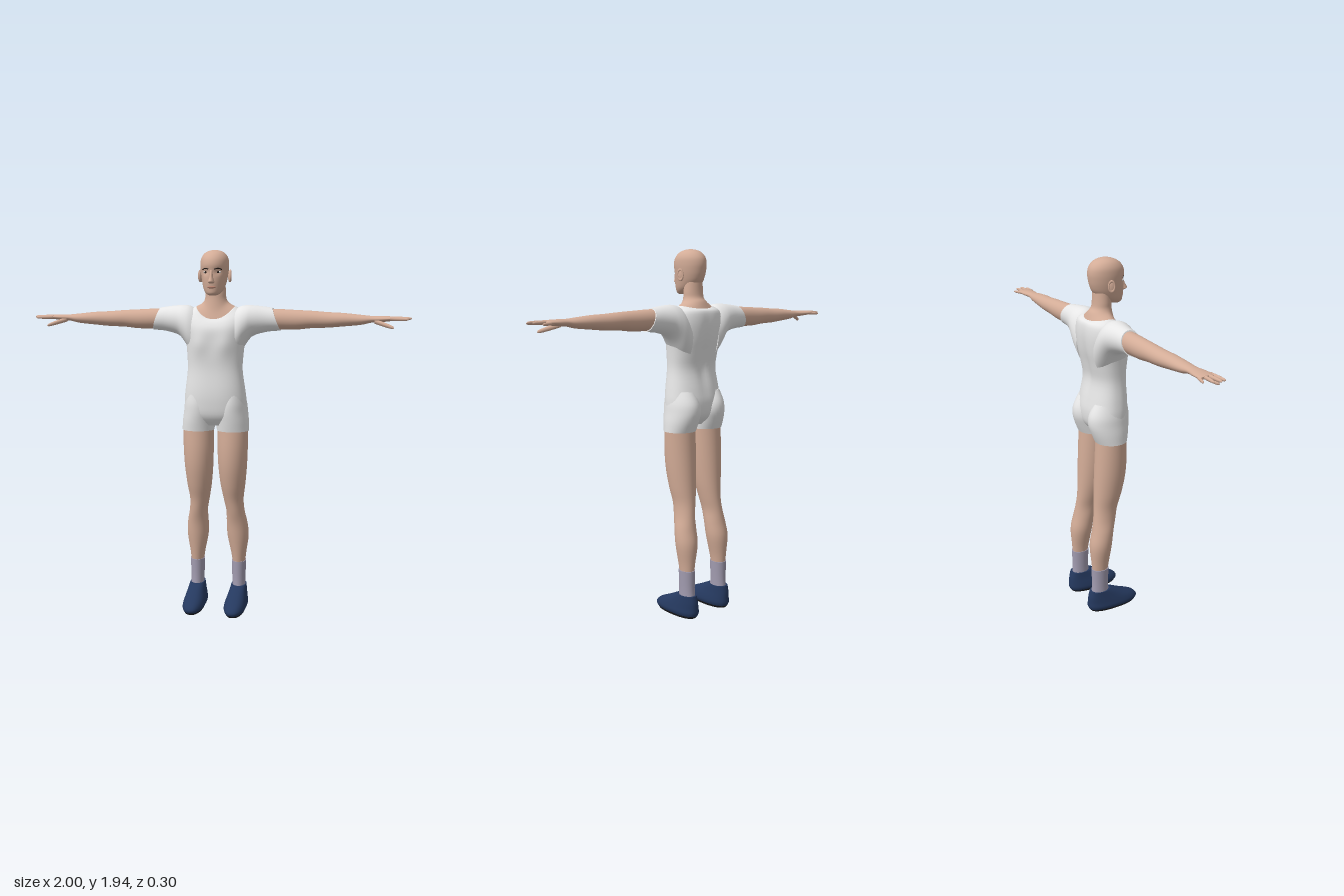
import * as THREE from 'three';

const mat = (name, color) => {
  const m = new THREE.MeshStandardMaterial({ color });
  m.name = name;
  return m;
};

// Cubic interpolation between section rows
function resample(rows, sub) {
  const out = [];
  const at = (i, k) => rows[Math.max(0, Math.min(rows.length - 1, i))][k] ?? 0;
  for (let i = 0; i < rows.length - 1; i++) {
    for (let s = 0; s < sub; s++) {
      const t = s / sub, row = [];
      for (let k = 0; k < 7; k++) {
        const a = at(i - 1, k), b = at(i, k), c = at(i + 1, k), d = at(i + 2, k);
        row.push(b + 0.5 * t * (c - a + t * (2 * a - 5 * b + 4 * c - d + t * (3 * (b - c) + d - a))));
      }
      out.push(row);
    }
  }
  out.push([0, 1, 2, 3, 4, 5, 6].map((k) => at(rows.length - 1, k)));
  return out;
}

// Loft of oval sections along y: [y, x0, x1, z0, z1, frontDip, backDip]
// or along x: [x, y0, y1, z0, z1, slant]
function loft(axis, rows, { n = 32, sub = 4, e = 1, rule } = {}) {
  const pos = [], idx = [];
  const pw = (v) => Math.sign(v) * Math.abs(v) ** e;
  const rings = resample(rows, sub);
  const point = (r, j) => {
    const a = (j / n) * Math.PI * 2;
    const c = pw(Math.cos(a)), s = pw(Math.sin(a));
    const u = (r[1] + r[2]) / 2 + ((r[2] - r[1]) / 2) * c;
    const zm = (r[3] + r[4]) / 2, zh = (r[4] - r[3]) / 2;
    const p = axis === 'y'
      ? new THREE.Vector3(u, r[0] - r[5] * Math.max(0, s) ** 2 - r[6] * Math.max(0, -s) ** 2, zm + zh * s)
      : new THREE.Vector3(r[0] - r[5] * c, u, zm - zh * s);
    if (rule) rule(p);
    return p;
  };
  const ring = (r) => {
    const start = pos.length / 3;
    for (let j = 0; j < n; j++) pos.push(...point(r, j).toArray());
    return start;
  };
  rings.forEach(ring);
  for (let i = 0; i < rings.length - 1; i++) {
    for (let j = 0; j < n; j++) {
      const a = i * n + j, b = i * n + ((j + 1) % n);
      idx.push(a, a + n, b, b, a + n, b + n);
    }
  }
  // End caps
  [rings[0], rings[rings.length - 1]].forEach((r, top) => {
    const s = ring(r), c = new THREE.Vector3();
    for (let j = 0; j < n; j++) c.add(point(r, j));
    pos.push(...c.divideScalar(n).toArray());
    for (let j = 0; j < n; j++) {
      const a = s + j, b = s + ((j + 1) % n);
      idx.push(s + n, top ? b : a, top ? a : b);
    }
  });
  const g = new THREE.BufferGeometry();
  g.setAttribute('position', new THREE.Float32BufferAttribute(pos, 3));
  g.setIndex(idx);
  g.computeVertexNormals();
  return g;
}

function mirrored(geo) {
  const g = geo.clone().scale(-1, 1, 1), i = g.index.array;
  for (let k = 0; k < i.length; k += 3) [i[k], i[k + 1]] = [i[k + 1], i[k]];
  return g;
}

const ball = (x, y, z, rx, ry, rz, turn = 0) =>
  new THREE.SphereGeometry(1, 20, 14).scale(rx, ry, rz).rotateY(turn).translate(x, y, z);
const hill = (d, w) => Math.exp(-((d / w) ** 2));

export function createModel() {
  const model = new THREE.Group();
  const skin = mat('skin', 0xd3ac97), shirt = mat('shirt white', 0xe6e6e6);
  const sock = mat('sock grey', 0xa29cb0), shoe = mat('shoe blue', 0x25395f);
  const sole = mat('sole black', 0x1d1d20), dark = mat('brow and iris', 0x2b211d);
  const white = mat('eye white', 0xe4e0dc), lip = mat('lip', 0xb78472);

  const add = (name, geo, material) => {
    const m = new THREE.Mesh(geo, material);
    m.name = name;
    model.add(m);
  };
  const pair = (name, geo, material) => {
    add('left' + name, geo, material);
    add('right' + name, mirrored(geo), material);
  };

  // Torso with chest swell and spine groove
  add('torso', loft('y', [
    [1.03, -0.1, 0.1, -0.05, 0.06], [1.08, -0.158, 0.158, -0.095, 0.096],
    [1.15, -0.165, 0.165, -0.106, 0.108], [1.22, -0.158, 0.158, -0.097, 0.11],
    [1.32, -0.145, 0.145, -0.08, 0.104], [1.4, -0.148, 0.148, -0.093, 0.106],
    [1.48, -0.156, 0.156, -0.11, 0.107, 0.01], [1.56, -0.165, 0.165, -0.116, 0.106, 0.03],
    [1.62, -0.15, 0.15, -0.108, 0.09, 0.055], [1.65, -0.105, 0.105, -0.085, 0.07, 0.065, 0.015],
  ], {
    n: 64, e: 0.88, rule: (p) => {
      if (p.z > 0.03) p.z += 0.012 * hill(Math.abs(p.x) - 0.07, 0.045) * hill(p.y - 1.46, 0.06);
      if (p.z < -0.03) p.z += 0.012 * hill(p.x, 0.03) * hill(p.y - 1.4, 0.17);
    },
  }), shirt);

  // Short legs of the garment, forming the seat
  pair('Short', loft('y', [
    [1.0, 0.008, 0.179, -0.085, 0.085], [1.05, 0.004, 0.177, -0.107, 0.094],
    [1.1, 0.0, 0.171, -0.122, 0.1], [1.15, 0.008, 0.165, -0.118, 0.1], [1.21, 0.03, 0.15, -0.088, 0.09],
  ]), shirt);

  // Sleeves, flaring into the chest
  pair('Sleeve', loft('x', [
    [0.09, 1.36, 1.625, -0.1, 0.078], [0.13, 1.41, 1.65, -0.104, 0.086],
    [0.165, 1.465, 1.656, -0.1, 0.079], [0.2, 1.5, 1.655, -0.092, 0.064],
    [0.26, 1.52, 1.65, -0.081, 0.045, 0.012], [0.318, 1.526, 1.643, -0.075, 0.035, 0.021],
  ]), shirt);

  // Arms to the palm
  pair('Arm', loft('x', [
    [0.25, 1.535, 1.637, -0.07, 0.03], [0.32, 1.532, 1.637, -0.07, 0.029],
    [0.42, 1.532, 1.632, -0.067, 0.027], [0.5, 1.54, 1.628, -0.065, 0.025],
    [0.58, 1.543, 1.622, -0.061, 0.026], [0.66, 1.55, 1.618, -0.055, 0.029],
    [0.75, 1.559, 1.609, -0.045, 0.027], [0.8, 1.57, 1.604, -0.038, 0.023],
    [0.85, 1.573, 1.604, -0.047, 0.029], [0.9, 1.579, 1.602, -0.054, 0.031],
    [0.92, 1.584, 1.598, -0.05, 0.027],
  ]), skin);

  // Fingers and thumb: base, tip, radius
  const digits = {
    IndexFinger: [0.89, 1.59, 0.022, 0.983, 1.588, 0.031, 0.0095],
    MiddleFinger: [0.89, 1.592, 0, 0.999, 1.592, 0.001, 0.0095],
    RingFinger: [0.89, 1.592, -0.022, 0.988, 1.591, -0.03, 0.009],
    LittleFinger: [0.885, 1.588, -0.042, 0.955, 1.585, -0.06, 0.008],
    Thumb: [0.815, 1.578, 0.01, 0.912, 1.546, 0.056, 0.012],
  };
  for (const [name, [x, y, z, X, Y, Z, r]] of Object.entries(digits)) {
    const rows = [[0, 1], [0.5, 0.95], [0.85, 0.75], [0.96, 0.45], [1, 0.05]].map(([t, k]) => {
      const cy = y + (Y - y) * t, cz = z + (Z - z) * t;
      return [x + (X - x) * t, cy - r * k, cy + r * k, cz - r * k, cz + r * k];
    });
    pair(name, loft('x', rows, { n: 12, sub: 2 }), skin);
  }

  // Legs, socks and shoes
  pair('Leg', loft('y', [
    [0.24, 0.083, 0.15, -0.122, -0.036], [0.3, 0.075, 0.156, -0.127, -0.026],
    [0.4, 0.055, 0.17, -0.133, -0.01], [0.48, 0.052, 0.165, -0.118, 0.002],
    [0.55, 0.053, 0.151, -0.107, 0.02], [0.62, 0.04, 0.147, -0.1, 0.036],
    [0.7, 0.026, 0.158, -0.096, 0.06], [0.8, 0.016, 0.168, -0.092, 0.08],
    [0.9, 0.012, 0.173, -0.087, 0.086], [1.01, 0.012, 0.175, -0.081, 0.081],
  ]), skin);
  pair('Sock', loft('y', [
    [0.08, 0.08, 0.154, -0.132, -0.026], [0.16, 0.08, 0.153, -0.126, -0.031],
    [0.26, 0.077, 0.156, -0.128, -0.029],
  ]), sock);
  pair('Shoe', loft('y', [
    [0.012, 0.06, 0.169, -0.145, 0.146], [0.03, 0.054, 0.175, -0.151, 0.152],
    [0.055, 0.058, 0.171, -0.15, 0.128], [0.088, 0.068, 0.164, -0.147, 0.055],
    [0.123, 0.076, 0.157, -0.138, -0.018],
  ], { e: 0.85 }), shoe);
  pair('Sole', loft('y', [
    [0, 0.066, 0.163, -0.135, 0.135], [0.014, 0.059, 0.17, -0.146, 0.147],
  ], { e: 0.85 }), sole);

  // Neck, spreading to the neckline
  add('neck', loft('y', [
    [1.648, -0.105, 0.105, -0.086, 0.07, 0.065, 0.015], [1.668, -0.07, 0.07, -0.071, 0.056, 0.04],
    [1.69, -0.056, 0.056, -0.055, 0.047, 0.01], [1.72, -0.054, 0.054, -0.05, 0.044],
    [1.77, -0.05, 0.05, -0.048, 0.04],
  ]), skin);

  // Head with hollowed eye sockets
  add('head', loft('y', [
    [1.706, -0.018, 0.018, 0.055, 0.093], [1.715, -0.036, 0.036, 0.02, 0.107],
    [1.738, -0.052, 0.052, -0.02, 0.111], [1.77, -0.061, 0.061, -0.052, 0.115],
    [1.8, -0.067, 0.067, -0.066, 0.115], [1.83, -0.071, 0.071, -0.073, 0.115],
    [1.86, -0.073, 0.073, -0.076, 0.118], [1.89, -0.07, 0.07, -0.07, 0.109],
    [1.915, -0.056, 0.056, -0.05, 0.086], [1.93, -0.033, 0.033, -0.02, 0.053],
    [1.936, -0.003, 0.003, 0.013, 0.019],
  ], {
    n: 48, rule: (p) => {
      if (p.z > 0.05) p.z -= 0.008 * hill(Math.abs(p.x) - 0.032, 0.016) * hill(p.y - 1.822, 0.014);
    },
  }), skin);

  // Face details
  add('nose', loft('y', [
    [1.764, -0.008, 0.008, 0.09, 0.122], [1.771, -0.017, 0.017, 0.09, 0.14],
    [1.778, -0.015, 0.015, 0.09, 0.143], [1.8, -0.009, 0.009, 0.09, 0.13],
    [1.832, -0.008, 0.008, 0.09, 0.117],
  ], { n: 16 }), skin);
  add('lips', ball(0, 1.747, 0.108, 0.022, 0.007, 0.008), lip);
  pair('Eye', ball(0.032, 1.822, 0.09, 0.014, 0.007, 0.012), white);
  pair('Iris', ball(0.032, 1.822, 0.0985, 0.006, 0.006, 0.0045), dark);
  const browPath = new THREE.CatmullRomCurve3([
    new THREE.Vector3(0.014, 1.836, 0.113), new THREE.Vector3(0.032, 1.841, 0.104),
    new THREE.Vector3(0.05, 1.835, 0.088),
  ]);
  pair('Brow', new THREE.TubeGeometry(browPath, 10, 0.0028, 8), dark);
  pair('Ear', ball(0.075, 1.803, 0.012, 0.007, 0.03, 0.018, 0.4), skin);
  pair('EarRim', new THREE.TorusGeometry(0.015, 0.004, 8, 20).scale(1, 1.7, 1)
    .rotateY(Math.PI / 2 + 0.4).translate(0.079, 1.805, 0.01), skin);

  return model;
}
